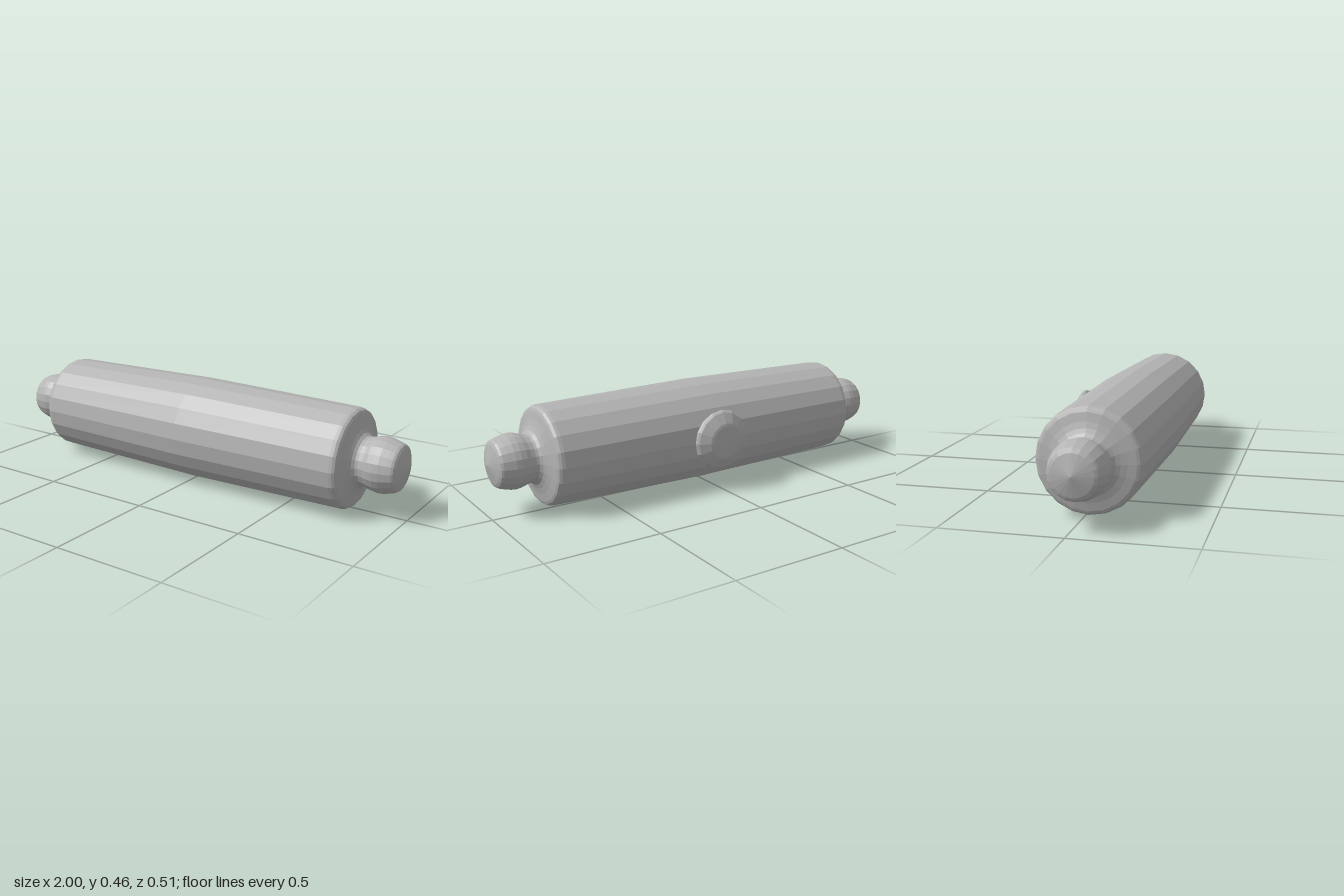
import * as THREE from 'three';

const SIDES = 20;
const AXIS_Y = 0.23;
const AXIS_Z = 0.025;

// Faceted turned solid around +y from [radius, height] pairs, bottom to top
function turned(profile, sides) {
  const points = profile.map(([r, h]) => new THREE.Vector2(r, h));
  const geometry = new THREE.LatheGeometry(points, sides).toNonIndexed();
  geometry.computeVertexNormals();
  return geometry;
}

export function createModel() {
  const group = new THREE.Group();
  const grey = new THREE.MeshStandardMaterial({ color: 0xb4b4b4, flatShading: true });
  grey.name = 'plain grey';

  const add = (name, geometry) => {
    const mesh = new THREE.Mesh(geometry, grey);
    mesh.name = name;
    group.add(mesh);
    return mesh;
  };

  // Slightly bulging barrel with rounded shoulders
  const half = [
    [0.229, 0], [0.216, 0.75], [0.213, 0.764], [0.206, 0.774], [0.195, 0.779],
    [0.16, 0.787], [0.135, 0.795], [0.118, 0.803], [0.107, 0.814], [0.104, 0.825],
  ];
  const mirrored = half.slice(1).reverse().map(([r, h]) => [r, -h]);
  const barrel = turned([...mirrored, ...half], SIDES).rotateZ(-Math.PI / 2);
  add('barrel', barrel).position.set(0, AXIS_Y, AXIS_Z);

  // Knob handles with shallow conical ends
  const knob = [
    [0.104, 0.825], [0.107, 0.845], [0.114, 0.865], [0.118, 0.89], [0.116, 0.915],
    [0.108, 0.945], [0.102, 0.964], [0.096, 0.973], [0.084, 0.979], [0, 1],
  ];
  for (const side of [1, -1]) {
    const geometry = turned(knob, SIDES).rotateZ(-side * Math.PI / 2);
    add(side > 0 ? 'leftHandle' : 'rightHandle', geometry).position.set(0, AXIS_Y, AXIS_Z);
  }

  // Domed button on the back
  const button = [
    [0, 0.193], [0.125, 0.193], [0.131, 0.197], [0.134, 0.205], [0.132, 0.213],
    [0.126, 0.221], [0.082, 0.246], [0.07, 0.249], [0, 0.253],
  ];
  add('backButton', turned(button, 16).rotateX(-Math.PI / 2)).position.y = AXIS_Y;

  return group;
}
